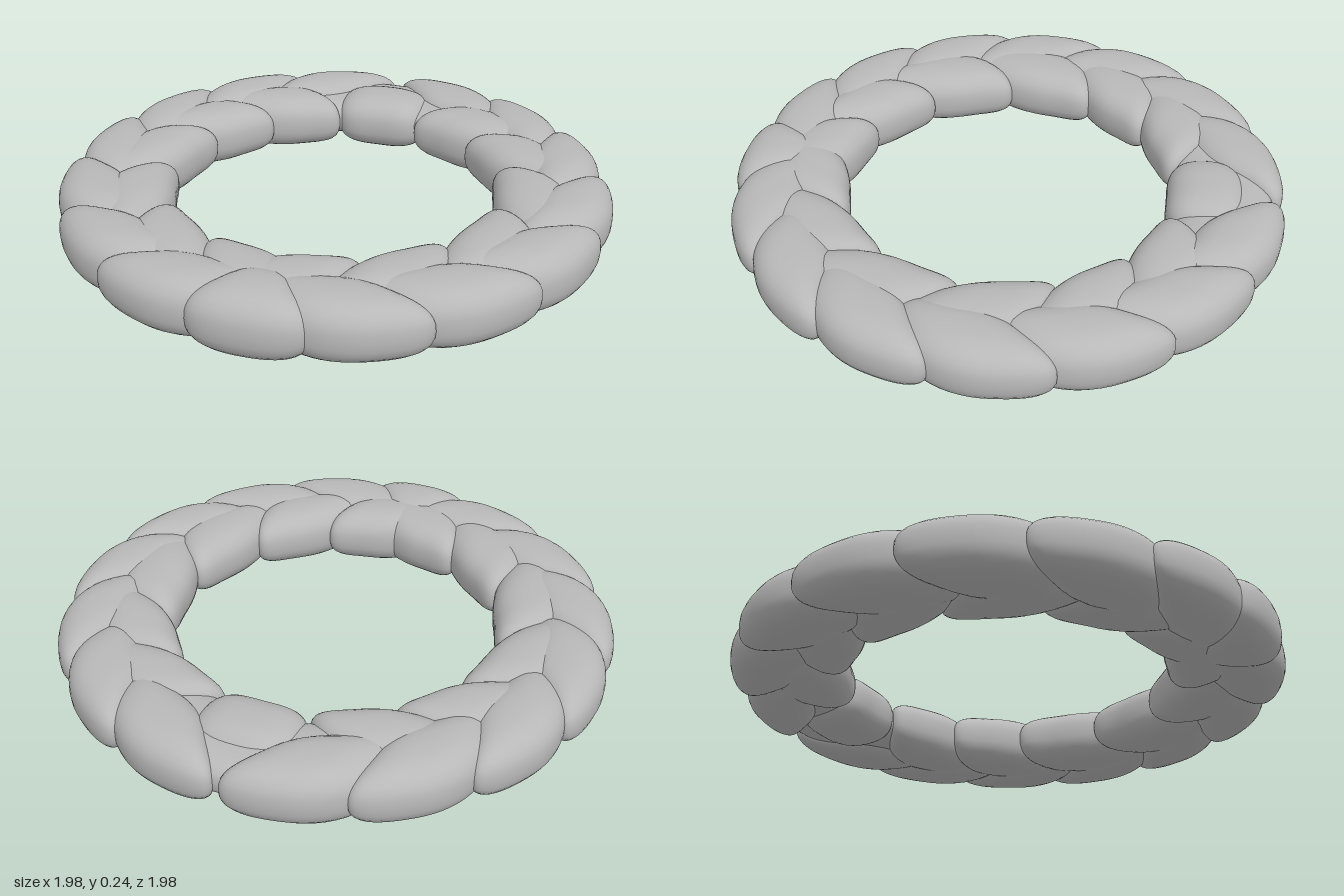
import * as THREE from 'three';

const RAD = Math.PI / 180;
const MID_Y = 0.123;
const power = (v, e) => Math.sign(v) * Math.pow(Math.abs(v), e);

// One plump strand: rounded cross-sections swept along an arc of the ring.
// Angles run from the back (0) to the front (180); side mirrors it left or right.
function strandGeometry({ angle, half, rIn, rOut, outer, side, lean, halfY, symmetric }) {
  const rows = 28, cols = 32;
  const mid = (rIn + rOut) / 2, halfR = (rOut - rIn) / 2;
  const pos = [], index = [];
  for (let i = 0; i <= rows; i++) {
    const u = -Math.cos((i / rows) * Math.PI);
    // blunt towards the back, tapered towards the front
    const p = symmetric ? 3 : u < 0 ? 3.6 : 2.4;
    const f = Math.pow(Math.max(0, 1 - Math.pow(Math.abs(u), p)), 1 / p);
    for (let j = 0; j < cols; j++) {
      const v = (j / cols) * Math.PI * 2;
      const r = mid + halfR * f * power(Math.cos(v), 0.8);
      const y = MID_Y + halfY * f * power(Math.sin(v), 0.8);
      // deeper points slide forward, which slants the strand
      const depth = outer ? rOut - r : r - rIn;
      const slide = depth * lean * (symmetric ? -u : 1);
      const a = side * ((angle + u * half) * RAD + slide);
      pos.push(r * Math.sin(a), y, -r * Math.cos(a));
    }
  }
  for (let i = 0; i < rows; i++) {
    for (let j = 0; j < cols; j++) {
      const k = (j + 1) % cols;
      const a = i * cols + j, b = i * cols + k, c = a + cols, d = b + cols;
      if (side > 0) index.push(a, c, b, b, c, d);
      else index.push(a, b, c, b, d, c);
    }
  }
  const g = new THREE.BufferGeometry();
  g.setAttribute('position', new THREE.Float32BufferAttribute(pos, 3));
  g.setIndex(index);
  // make sure the faces point outwards
  let volume = 0;
  const A = new THREE.Vector3(), B = new THREE.Vector3(), C = new THREE.Vector3();
  for (let i = 0; i < index.length; i += 3) {
    A.fromArray(pos, index[i] * 3);
    B.fromArray(pos, index[i + 1] * 3);
    C.fromArray(pos, index[i + 2] * 3);
    volume += A.dot(B.cross(C));
  }
  if (volume < 0) g.setIndex(index.reverse());
  g.computeVertexNormals();
  return g;
}

export function createModel() {
  const model = new THREE.Group();
  model.name = 'braidedRing';
  const grey = new THREE.MeshStandardMaterial({ color: 0xb8b8b8 });
  grey.name = 'plain grey';

  const add = (name, geometry) => {
    const mesh = new THREE.Mesh(geometry, grey);
    mesh.name = name;
    model.add(mesh);
  };

  // Core that fills the gaps between the strands
  const section = [];
  for (let i = 0; i <= 32; i++) {
    const t = (i / 32) * Math.PI * 2 - Math.PI / 2;
    section.push(new THREE.Vector2(
      0.785 + 0.165 * power(Math.cos(t), 0.75),
      MID_Y + 0.075 * power(Math.sin(t), 0.75)));
  }
  add('core', new THREE.LatheGeometry(section, 96));

  const outerStrand = { rIn: 0.7, rOut: 0.995, outer: true, half: 15, lean: 0.95, halfY: 0.111 };
  const innerStrand = { rIn: 0.572, rOut: 0.86, outer: false, lean: 1.0, halfY: 0.107 };

  // Mirrored strands down both sides
  const innerNotches = [14, 40, 65.5, 95.7, 126, 154, 180];
  for (const side of [1, -1]) {
    const word = side > 0 ? 'Left' : 'Right';
    for (let k = 0; k < 7; k++) {
      add(`outerStrand${word}${k + 1}`,
        strandGeometry({ ...outerStrand, angle: 12 + 24 * k, side }));
    }
    for (let k = 0; k < 6; k++) {
      const from = innerNotches[k], to = innerNotches[k + 1];
      add(`innerStrand${word}${k + 1}`, strandGeometry({
        ...innerStrand, angle: (from + to) / 2, half: (to - from) / 2 + 3, side,
      }));
    }
  }

  // Symmetric strands closing the braid at the front and back
  add('frontOuterStrand', strandGeometry({
    ...outerStrand, angle: 180, half: 15.5, lean: 0.6, halfY: 0.119, side: 1, symmetric: true,
  }));
  add('backInnerStrand', strandGeometry({
    ...innerStrand, angle: 0, half: 16.5, lean: 0.2, side: 1, symmetric: true,
  }));

  return model;
}
